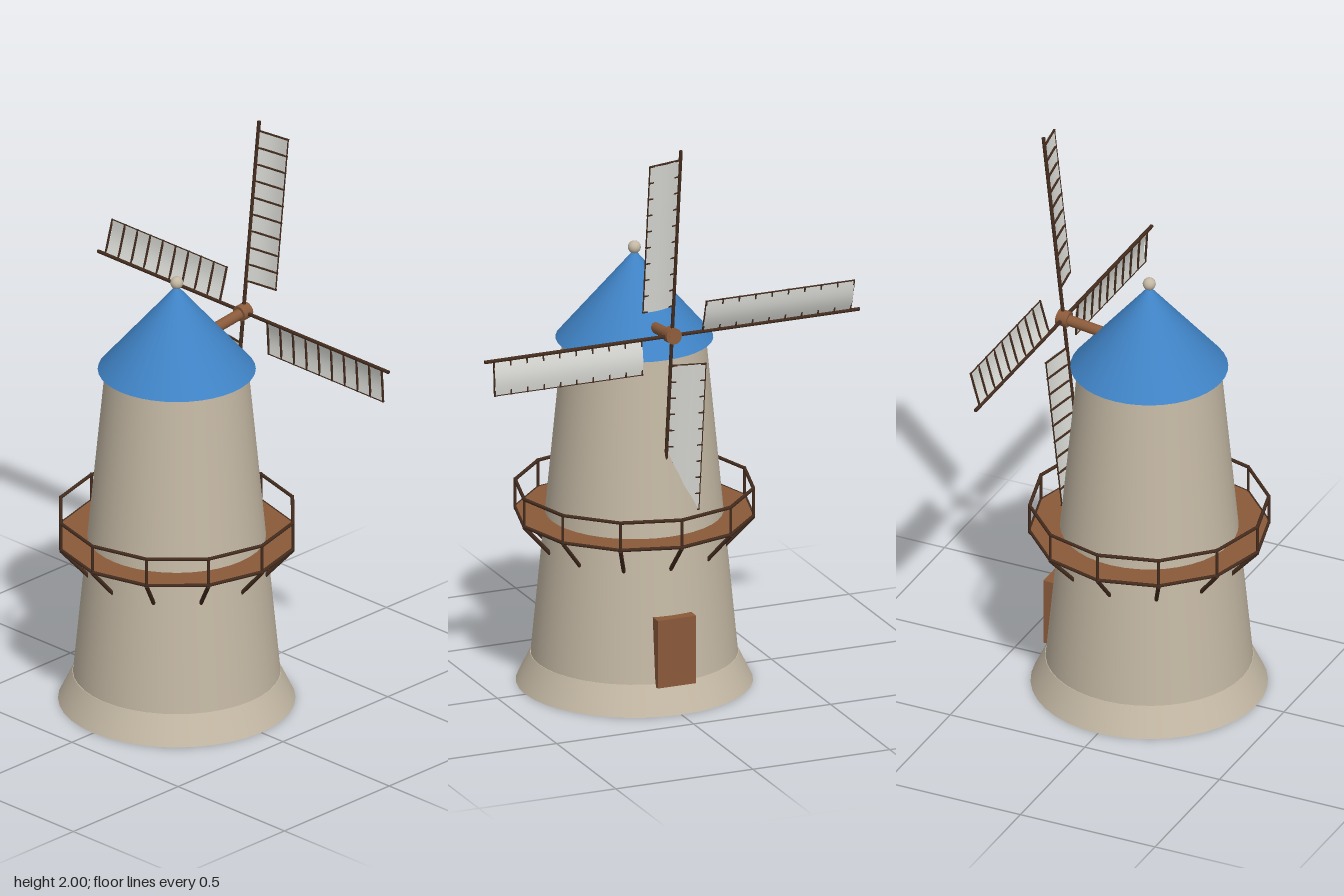
import * as THREE from 'three';

const mat = (name, color, side = THREE.FrontSide) => {
  const m = new THREE.MeshStandardMaterial({ color, side });
  m.name = name;
  return m;
};

export function createModel() {
  const stone = mat('stone', 0xc4b8a4);
  const blue = mat('roofBlue', 0x3f82c4);
  const wood = mat('wood', 0x8a5a3a);
  const dark = mat('darkWood', 0x442c1e);
  const cloth = mat('sailCloth', 0xd9d9d5, THREE.DoubleSide);

  const model = new THREE.Group();
  model.name = 'windmill';

  const add = (parent, name, geo, material, x = 0, y = 0, z = 0) => {
    const m = new THREE.Mesh(geo, material);
    m.name = name;
    m.position.set(x, y, z);
    parent.add(m);
    return m;
  };
  // round bar between two points
  const bar = (parent, name, a, b, r, material, sides = 8) => {
    const d = b.clone().sub(a);
    const m = add(parent, name, new THREE.CylinderGeometry(r, r, d.length(), sides), material);
    m.position.copy(a).addScaledVector(d, 0.5);
    m.quaternion.setFromUnitVectors(new THREE.Vector3(0, 1, 0), d.normalize());
    return m;
  };
  const V = (x, y, z) => new THREE.Vector3(x, y, z);

  // Tower, roof and door
  add(model, 'baseSkirt', new THREE.CylinderGeometry(0.35, 0.398, 0.1, 40), stone, 0, 0.05, 0);
  add(model, 'tower', new THREE.CylinderGeometry(0.24, 0.348, 1.12, 40, 1, true), stone, 0, 0.66, 0);
  add(model, 'roof', new THREE.ConeGeometry(0.265, 0.31, 40), blue, 0, 1.37, 0);
  add(model, 'finial', new THREE.SphereGeometry(0.022, 16, 12), stone, 0, 1.533, 0);
  add(model, 'door', new THREE.BoxGeometry(0.07, 0.24, 0.14), wood, 0.325, 0.21, 0);

  // Balcony: twelve-sided deck, rails, posts and braces
  const balcony = new THREE.Group();
  balcony.name = 'balcony';
  model.add(balcony);
  const sides = 12, R = 0.402;
  const ring = (r) => Array.from({ length: sides }, (_, i) => {
    const a = (i / sides) * Math.PI * 2;
    return new THREE.Vector2(Math.cos(a) * r, Math.sin(a) * r);
  });
  const deckShape = new THREE.Shape(ring(R));
  deckShape.holes.push(new THREE.Path(ring(0.28)));
  const deckGeo = new THREE.ExtrudeGeometry(deckShape, { depth: 0.01, bevelEnabled: false });
  deckGeo.rotateX(-Math.PI / 2);
  add(balcony, 'deck', deckGeo, wood, 0, 0.59, 0);
  for (let i = 0; i < sides; i++) {
    const at = (k, r, y) => {
      const a = (k / sides) * Math.PI * 2;
      return V(Math.cos(a) * r, y, Math.sin(a) * r);
    };
    bar(balcony, 'topRail', at(i, R, 0.692), at(i + 1, R, 0.692), 0.006, dark);
    bar(balcony, 'deckEdge', at(i, R, 0.595), at(i + 1, R, 0.595), 0.006, dark);
    bar(balcony, 'post', at(i, R, 0.59), at(i, R, 0.697), 0.005, dark);
    bar(balcony, 'brace', at(i, R, 0.592), at(i, 0.3, 0.48), 0.007, dark);
  }

  // Axle and hub
  bar(model, 'axle', V(0.12, 1.296, 0), V(0.338, 1.322, 0), 0.019, wood, 16);
  bar(model, 'hub', V(0.297, 1.319, 0), V(0.337, 1.323, 0), 0.028, wood, 16);

  // Rotor with four blades, leaning outward at the top
  const rotor = new THREE.Group();
  rotor.name = 'rotor';
  rotor.position.set(0.318, 1.32, 0);
  rotor.rotation.z = -0.11;
  model.add(rotor);

  // Slightly billowed sail: y along the spar, z across it
  const w = 0.115, len = 0.54;
  const sailGeo = new THREE.PlaneGeometry(w, len, 8, 1);
  sailGeo.rotateY(Math.PI / 2);
  const p = sailGeo.attributes.position;
  for (let i = 0; i < p.count; i++) {
    const u = p.getZ(i) / w + 0.5;
    p.setX(i, 0.008 * Math.sin(Math.PI * u));
  }
  sailGeo.computeVertexNormals();

  for (let k = 0; k < 4; k++) {
    const blade = new THREE.Group();
    blade.name = 'blade';
    blade.rotation.x = (k * Math.PI) / 2;
    rotor.add(blade);
    bar(blade, 'spar', V(0, 0, 0), V(0, 0.684, 0), 0.0065, dark);

    const frame = new THREE.Group();
    frame.name = 'sailFrame';
    frame.rotation.y = 0.17;
    blade.add(frame);
    add(frame, 'sail', sailGeo, cloth, 0, 0.11 + len / 2, 0.006 + w / 2);
    for (let i = 0; i < 10; i++) {
      add(frame, 'slat', new THREE.BoxGeometry(0.006, 0.005, 0.124), dark,
        0.0005, 0.112 + (i * (len - 0.002)) / 9, 0.062);
    }
    add(frame, 'outerRail', new THREE.BoxGeometry(0.004, len, 0.003), dark, 0, 0.11 + len / 2, 0.122);
  }
  return model;
}
